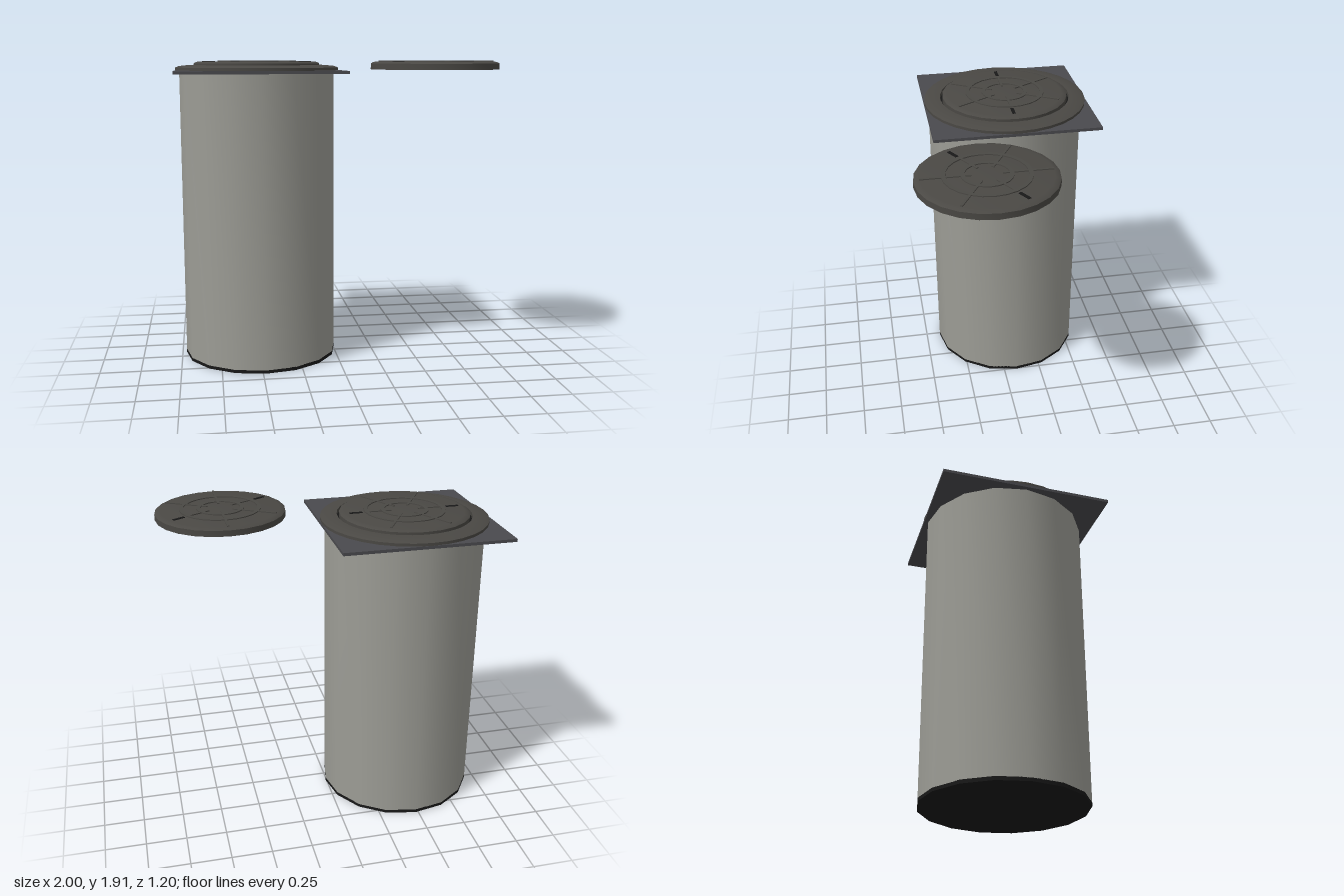
import * as THREE from 'three';
import { toCreasedNormals } from 'three/addons/utils/BufferGeometryUtils.js';

const mat = (color) => new THREE.MeshStandardMaterial({ color });
const iron = mat(0x4a4844);
const plateGrey = mat(0x4a4a4e);
const concrete = mat(0x9c9c95);
const black = mat(0x181818);

function add(parent, name, geometry, material, x = 0, y = 0, z = 0) {
  const mesh = new THREE.Mesh(geometry, material);
  mesh.name = name;
  mesh.position.set(x, y, z);
  parent.add(mesh);
  return mesh;
}

// Turned solid with sharp edges but smooth walls
function turned(profile, sides) {
  const points = profile.map(([r, y]) => new THREE.Vector2(r, y));
  return toCreasedNormals(new THREE.LatheGeometry(points, sides), 0.5);
}

// Raised bar lying along a radius
function radialBar(parent, name, r0, r1, width, height, angle, y, material) {
  const mid = (r0 + r1) / 2;
  const bar = add(parent, name, new THREE.BoxGeometry(r1 - r0, height, width), material,
    Math.cos(angle) * mid, y, -Math.sin(angle) * mid);
  bar.rotation.y = angle;
}

// Round cover with a bevelled rim, two ribbed rings, spokes and two lifting slots
function makeCover(name) {
  const cover = new THREE.Group();
  cover.name = name;
  const top = 0.048;
  add(cover, 'coverDisc', turned([
    [0, 0], [0.398, 0], [0.398, 0.036], [0.385, 0.044], [0.365, top], [0, top],
  ], 24), iron);

  for (const [inner, outer] of [[0.122, 0.146], [0.226, 0.25]]) {
    add(cover, 'coverRing', turned([
      [outer, top - 0.004], [outer, top + 0.006], [inner, top + 0.006], [inner, top - 0.004],
    ], 24), iron);
  }

  for (let i = 0; i < 6; i++) {
    const angle = (i * Math.PI) / 3;
    radialBar(cover, 'innerTick', 0.085, 0.124, 0.014, 0.01, angle, top + 0.001, iron);
    radialBar(cover, 'middleSpoke', 0.144, 0.228, 0.014, 0.01, angle, top + 0.001, iron);
    if (i % 3 === 0) {
      radialBar(cover, 'liftingSlot', 0.265, 0.345, 0.02, 0.008, angle, top - 0.001, black);
    } else {
      radialBar(cover, 'outerSpoke', 0.248, 0.365, 0.014, 0.01, angle, top + 0.001, iron);
    }
  }
  return cover;
}

export function createModel() {
  const model = new THREE.Group();
  model.name = 'manhole';

  const well = new THREE.Group();
  well.name = 'well';
  well.position.set(-0.483, 0, -0.085);
  model.add(well);

  // Hollow shaft standing on a dark floor
  add(well, 'shaftWall', turned([
    [0.44, 0.02], [0.49, 0.02], [0.49, 1.835], [0.44, 1.835], [0.44, 0.02],
  ], 16).clone(), concrete);
  add(well, 'shaftFloor', new THREE.CylinderGeometry(0.49, 0.49, 0.022, 16), black, 0, 0.011, 0);

  // Square plate with a round opening
  const square = new THREE.Shape();
  const h = 0.514;
  square.moveTo(-h, -h).lineTo(h, -h).lineTo(h, h).lineTo(-h, h).closePath();
  square.holes.push(new THREE.Path().absarc(0, 0, 0.41, 0, Math.PI * 2, true));
  const plate = new THREE.ExtrudeGeometry(square, { depth: 0.018, bevelEnabled: false, curveSegments: 16 });
  plate.rotateX(-Math.PI / 2);
  add(well, 'squarePlate', plate, plateGrey, 0, 1.828, 0);

  // Frame ring around the cover
  add(well, 'frameRing', turned([
    [0.412, 1.835], [0.514, 1.835], [0.514, 1.863], [0.49, 1.872],
    [0.43, 1.878], [0.412, 1.878], [0.412, 1.835],
  ], 32), iron);

  // Seat closing the gap under the cover
  add(well, 'coverSeat', new THREE.CylinderGeometry(0.43, 0.43, 0.02, 24), black, 0, 1.842, 0);

  const fitted = makeCover('fittedCover');
  fitted.position.y = 1.852;
  well.add(fitted);

  // Second cover beside the well, turned by half a spoke
  const spare = makeCover('spareCover');
  spare.position.set(0.602, 1.852, 0.2);
  spare.rotation.y = Math.PI / 6;
  model.add(spare);

  return model;
}
